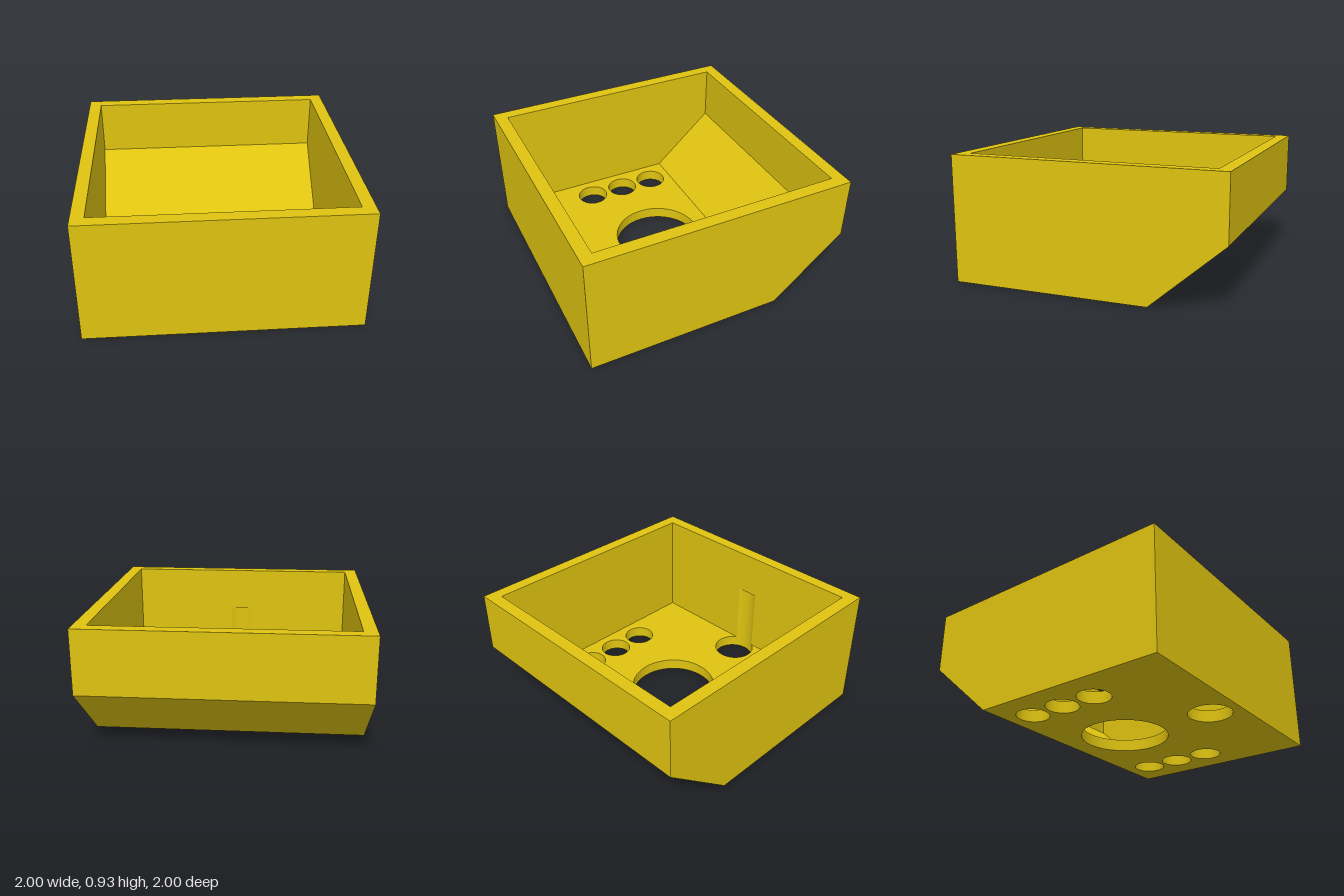
import * as THREE from 'three';

const T = 0.095;           // wall thickness
const IN = 1 - T;          // inner half width
const H = 0.93;            // overall height
const FLOOR = 0.09;        // floor thickness
const GROOVE_TOP = 0.59;   // top of the groove in the front wall
const SEG = 24;

const outline = (pts) => new THREE.Shape(pts.map(([x, y]) => new THREE.Vector2(x, y)));

// extrude a (z, y) profile along x, centred on cx
function alongX(pts, width, cx) {
  const g = new THREE.ExtrudeGeometry(outline(pts), { depth: width, bevelEnabled: false });
  return g.rotateY(-Math.PI / 2).translate(cx + width / 2, 0, 0);
}

// extrude an (x, z) plan upwards from y0 to y1
function upwards(shape, y0, y1) {
  const g = new THREE.ExtrudeGeometry(shape, { depth: y1 - y0, bevelEnabled: false, curveSegments: SEG });
  return g.rotateX(Math.PI / 2).translate(0, y1, 0);
}

export function createModel() {
  const model = new THREE.Group();
  model.name = 'enclosure';
  const yellow = new THREE.MeshStandardMaterial({ color: 0xdfc310 });
  yellow.name = 'yellow';
  const add = (name, geometry) => {
    const mesh = new THREE.Mesh(geometry, yellow);
    mesh.name = name;
    model.add(mesh);
  };

  // side walls with the sloped lower back corner
  const side = [[1, 0], [1, H], [-1, H], [-1, 0.465], [-0.465, 0]];
  add('leftWall', alongX(side, T, 1 - T / 2));
  add('rightWall', alongX(side, T, -1 + T / 2));

  // back wall and sloped panel in one profile
  add('backWall', alongX([
    [-0.435, 0], [-0.435, FLOOR], [-IN, 0.51], [-IN, H], [-1, H], [-1, 0.465], [-0.465, 0],
  ], 2 * IN, 0));

  // floor with one large opening, a front cable hole and two rows of small holes
  const cable = { z: 0.77, r: 0.16 };
  const floor = outline([[-IN, -0.435], [IN, -0.435], [IN, 1], [-IN, 1]]);
  const holes = [[0, 0.02, 0.33], [0, cable.z, cable.r]];
  for (const x of [-0.72, 0.72]) {
    for (const z of [-0.255, 0.022, 0.3]) holes.push([x, z, 0.12]);
  }
  for (const [x, z, r] of holes) {
    floor.holes.push(new THREE.Path().absarc(x, z, r, 0, Math.PI * 2, true));
  }
  add('floor', upwards(floor, 0, FLOOR));

  // lower front wall, grooved where the cable hole runs into it
  const a = Math.asin((IN - cable.z) / cable.r);
  const lower = new THREE.Shape();
  lower.moveTo(-IN, 1);
  lower.lineTo(-IN, IN);
  lower.absarc(0, cable.z, cable.r, Math.PI - a, a, true);
  lower.lineTo(IN, IN);
  lower.lineTo(IN, 1);
  lower.closePath();
  add('frontWallLower', upwards(lower, FLOOR, GROOVE_TOP));

  // plain upper front wall
  const upper = new THREE.BoxGeometry(2 * IN, H - GROOVE_TOP, T);
  add('frontWallUpper', upper.translate(0, (H + GROOVE_TOP) / 2, 1 - T / 2));

  return model;
}
